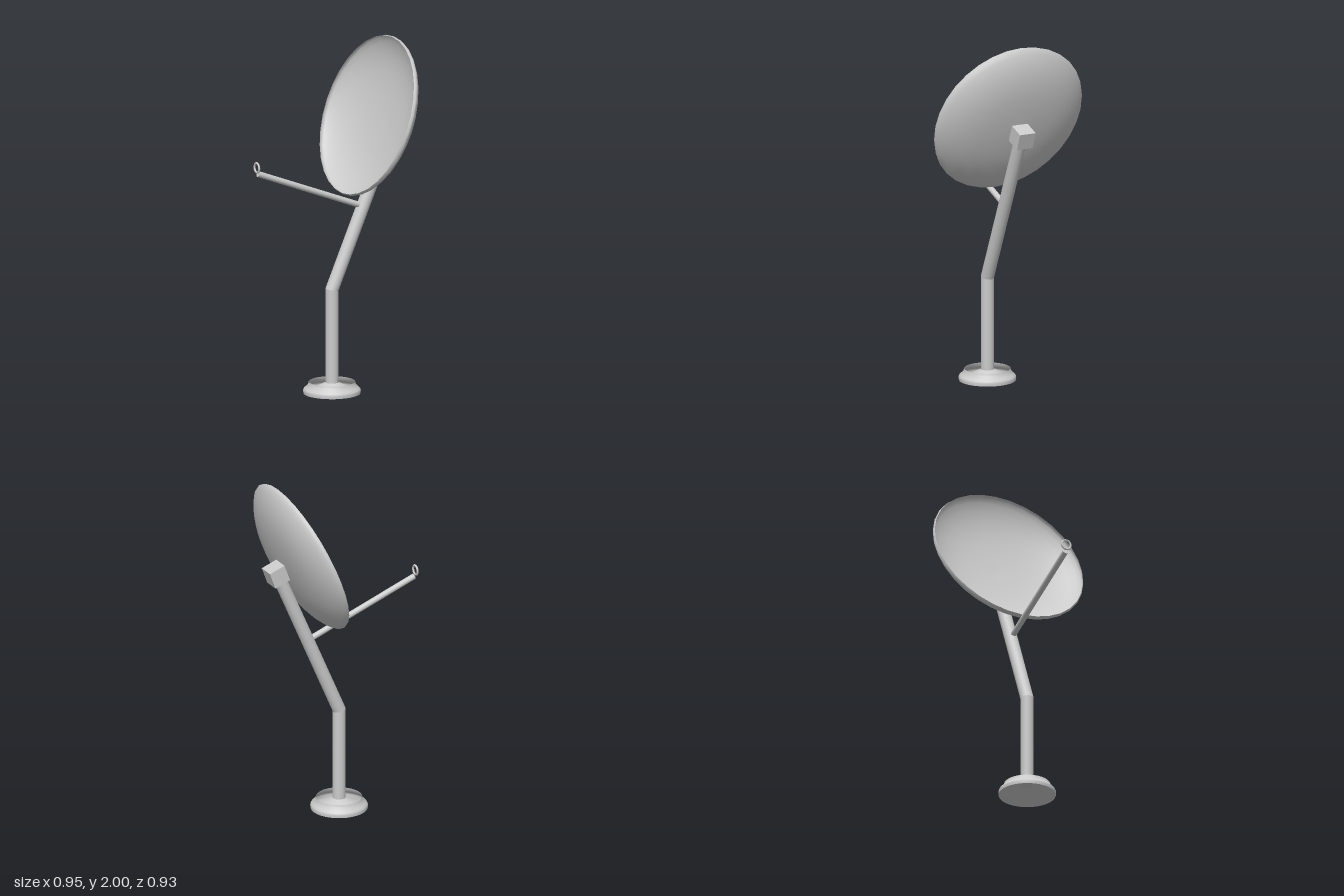
import * as THREE from 'three';

const grey = new THREE.MeshStandardMaterial({ color: 0xcccccc });
const greyDouble = new THREE.MeshStandardMaterial({ color: 0xcccccc, side: THREE.DoubleSide });
const UP = new THREE.Vector3(0, 1, 0);

function part(group, name, geometry, material = grey) {
  const mesh = new THREE.Mesh(geometry, material);
  mesh.name = name;
  group.add(mesh);
  return mesh;
}

// Round bar between two points; the ends can be cut at a slope to form a mitre
function bar(a, b, radius, { topSlope = 0, bottomSlope = 0, sides = 20 } = {}) {
  const from = new THREE.Vector3(...a), dir = new THREE.Vector3(...b).sub(from);
  const length = dir.length();
  const g = new THREE.CylinderGeometry(radius, radius, length, sides);
  const p = g.attributes.position;
  for (let i = 0; i < p.count; i++) {
    const slope = p.getY(i) > 0 ? topSlope : bottomSlope;
    p.setY(i, p.getY(i) + slope * p.getX(i));
  }
  g.translate(0, length / 2, 0);
  g.applyQuaternion(new THREE.Quaternion().setFromUnitVectors(UP, dir.normalize()));
  return g.translate(...a);
}

const lathe = (points, sides) =>
  new THREE.LatheGeometry(points.map(([r, y]) => new THREE.Vector2(r, y)), sides);

export function createModel() {
  const model = new THREE.Group();
  model.name = 'satelliteDish';

  // Foot: a flared open collar around a hollow cone that carries the pole
  const foot = new THREE.Group();
  foot.name = 'foot';
  foot.position.x = 0.01;
  model.add(foot);
  const collarProfile = [
    [0.16, 0], [0.162, 0.016], [0.158, 0.026], [0.146, 0.036], [0.134, 0.05], [0.13, 0.066],
  ];
  part(foot, 'footCollar', lathe(collarProfile, 32), greyDouble);
  part(foot, 'footCone', lathe([[0.16, 0], [0, 0.08]], 32), greyDouble);

  // Bent pole with a mitred joint
  const bend = [0.01, 0.592, 0];
  part(model, 'lowerPole', bar([0.01, 0.0615, 0], bend, 0.037, { topSlope: -0.206 }));
  part(model, 'upperPole', bar(bend, [0.387, 1.46, 0], 0.037, { bottomSlope: 0.206 }));

  // Dish and its mounting block share one tilted frame: local x points out of the back
  const head = new THREE.Group();
  head.name = 'dishHead';
  head.position.set(0.233, 1.568, 0);
  head.rotation.z = -0.358;
  model.add(head);

  // Shallow bowl that curls in slightly at the rim
  const dishProfile = [
    [0, 0.141], [0.1, 0.138], [0.197, 0.13], [0.275, 0.116], [0.345, 0.096],
    [0.4, 0.07], [0.438, 0.045], [0.458, 0.026], [0.464, 0.013], [0.458, 0],
  ].map(([r, depth]) => [r, -depth]);
  part(head, 'dish', lathe(dishProfile, 32), greyDouble).rotation.z = Math.PI / 2;

  // Block joining the pole to the back of the dish
  part(head, 'mountBlock', new THREE.BoxGeometry(0.098, 0.1, 0.1)).position.set(0.192, -0.014, 0);

  // Feed arm with a ring at its tip
  part(model, 'feedArm', bar([0.2, 1.052, 0], [-0.462, 1.307, 0], 0.017, { sides: 16 }));
  const ring = part(model, 'feedRing', new THREE.TorusGeometry(0.027, 0.006, 10, 24));
  ring.position.set(-0.47, 1.343, 0);
  ring.rotation.y = Math.PI / 2;

  return model;
}
